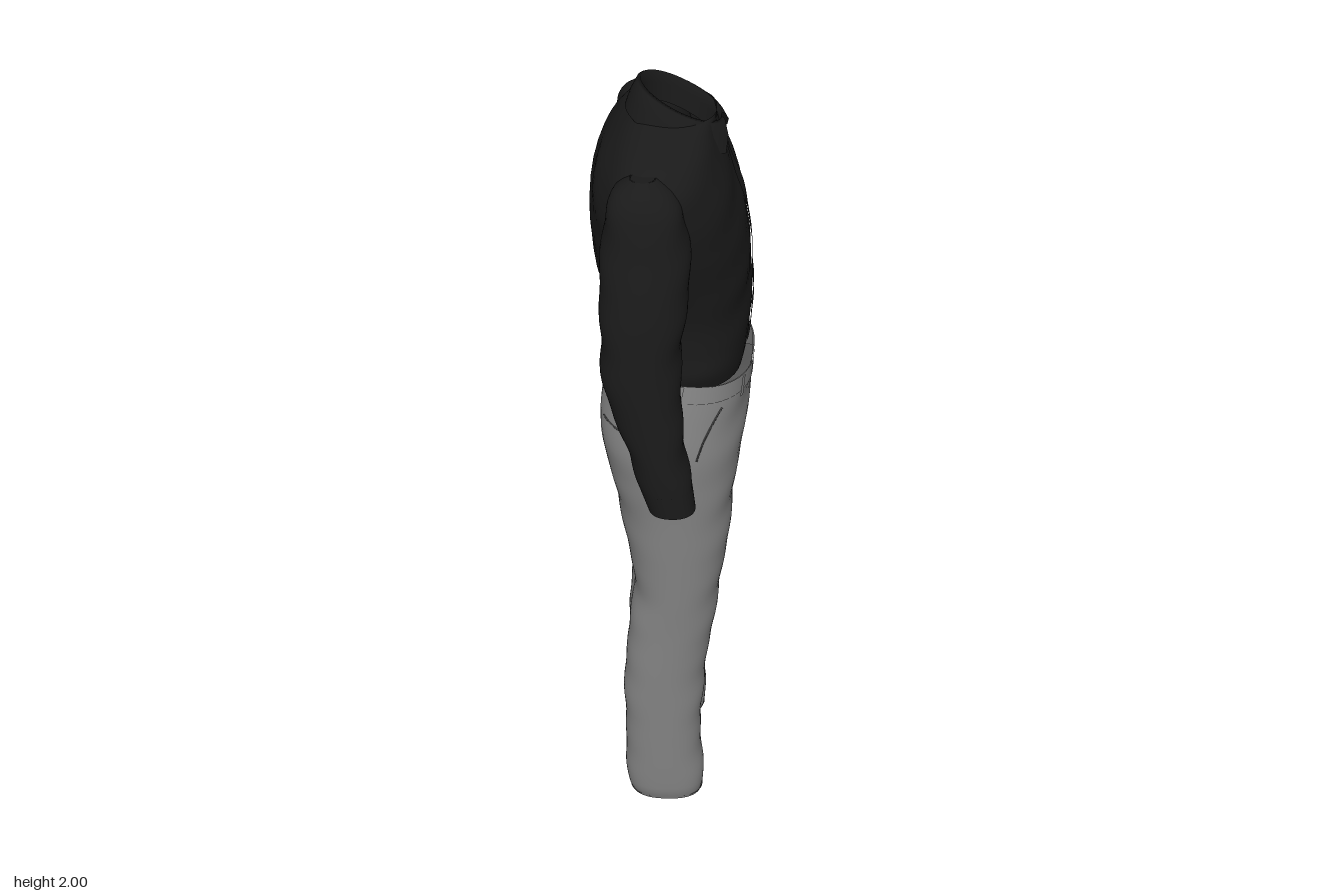
import * as THREE from 'three';

const mat = (name, color) => {
  const m = new THREE.MeshStandardMaterial({ color, side: THREE.DoubleSide });
  m.name = name;
  return m;
};

// Cross-section rows: y, back x, front x, middle x, inner z, middle z, outer z,
// inner fullness (1 = flat wall at the centre seam), corner roundness
const limb = ([y, xb, xf, zi, zo]) => [y, xb, xf, (xb + xf) / 2, zi, (zi + zo) / 2, zo, 0, 0.9];
const trunk = ([y, xb, xf, xc, z]) => [y, xb, xf, xc, -z, 0, z, 0, 0.88];

const TORSO = [
  [1.27, -0.11, 0.172, 0.02, 0.2], [1.31, -0.125, 0.178, 0.02, 0.211], [1.36, -0.14, 0.185, 0.01, 0.207],
  [1.45, -0.165, 0.187, 0, 0.21], [1.55, -0.185, 0.185, -0.02, 0.235], [1.65, -0.195, 0.174, -0.04, 0.265],
  [1.75, -0.192, 0.15, -0.05, 0.285], [1.82, -0.172, 0.125, -0.055, 0.285], [1.87, -0.14, 0.108, -0.05, 0.24],
  [1.9, -0.115, 0.1, -0.03, 0.17], [1.925, -0.09, 0.1, 0, 0.1],
].map(trunk);

const SLEEVE = [
  [1.05, -0.045, 0.06, 0.32, 0.418], [1.15, -0.08, 0.047, 0.302, 0.418], [1.28, -0.122, 0.032, 0.285, 0.411],
  [1.38, -0.152, 0.025, 0.268, 0.405], [1.45, -0.16, 0.028, 0.25, 0.4], [1.58, -0.16, 0.04, 0.222, 0.385],
  [1.7, -0.157, 0.045, 0.2, 0.358], [1.8, -0.147, 0.03, 0.19, 0.332], [1.845, -0.125, 0, 0.19, 0.305],
  [1.868, -0.09, -0.035, 0.22, 0.27],
].map(limb);

const TROUSER = [
  [0, -0.105, 0.08, -0.01, 0.115, 0.17, 0.23, 0, 0.85], [0.03, -0.115, 0.085, -0.015, 0.108, 0.17, 0.237, 0, 0.85],
  [0.2, -0.12, 0.076, -0.02, 0.1, 0.17, 0.24, 0, 0.88], [0.4, -0.12, 0.086, -0.02, 0.09, 0.165, 0.24, 0, 0.9],
  [0.55, -0.108, 0.106, 0, 0.068, 0.155, 0.24, 0, 0.9], [0.66, -0.095, 0.12, 0.01, 0.05, 0.145, 0.243, 0, 0.9],
  [0.8, -0.112, 0.14, 0.01, 0.03, 0.135, 0.247, 0, 0.9], [0.92, -0.135, 0.15, 0.01, 0.008, 0.125, 0.25, 0.15, 0.9],
  [1, -0.152, 0.16, 0, 0, 0.11, 0.254, 0.6, 0.9], [1.1, -0.175, 0.175, 0, 0, 0.08, 0.255, 0.93, 0.9],
  [1.2, -0.165, 0.188, 0.01, 0, 0.04, 0.24, 0.98, 0.9], [1.3, -0.125, 0.195, 0.03, 0, 0.01, 0.22, 1, 0.88],
];

// Smooth interpolation of the rows at height y
function rowAt(rows, y) {
  let i = 0;
  while (i < rows.length - 2 && y > rows[i + 1][0]) i++;
  const a = rows[i], b = rows[i + 1], p = rows[i - 1] || a, n = rows[i + 2] || b;
  const h = b[0] - a[0], t = (y - a[0]) / h;
  return a.map((v, k) => {
    const m0 = ((b[k] - p[k]) / (b[0] - p[0])) * h, m1 = ((n[k] - v) / (n[0] - a[0])) * h;
    return v + t * (m0 + t * (3 * (b[k] - v) - 2 * m0 - m1 + t * (m0 + m1 - 2 * (b[k] - v))));
  });
}

const N = 48;
// Point on a garment at height y and angle t (0 = front, quarter turn = outside)
function surf(rows, y, t, grow = 0, fold = 0) {
  const [, xb, xf, xc, zi, zc, zo, f0, p] = rowAt(rows, y);
  const c = Math.cos(t), s = Math.max(-1, Math.min(1, Math.sin(t) / Math.cos(Math.PI / N)));
  const f = s < 0 ? Math.max(0, Math.min(1, f0)) : 0;
  const cx = f + (1 - f) * Math.pow(Math.abs(c), p), sz = Math.pow(Math.abs(s), p);
  let x = xc + Math.sign(c) * cx * ((c > 0 ? xf - xc : xc - xb) + grow);
  let z = zc + Math.sign(s) * sz * ((s > 0 ? zo - zc : zc - zi) + grow);
  x += fold * c * Math.sin(y * 38 + z * 24) * Math.sin(y * 11 + 1);
  if (rows === TROUSER) {
    z = Math.max(z, 0);
    y -= 0.1 * x * Math.max(0, (y - 1.1) / 0.2);
  }
  return new THREE.Vector3(x, y, z);
}

// Grid surface from a point function; side = -1 mirrors it
function grid(rows, cols, fn, side = 1, closed = false) {
  const pos = [], idx = [], w = closed ? cols : cols + 1;
  for (let i = 0; i <= rows; i++)
    for (let j = 0; j < w; j++) {
      const v = fn(i / rows, j / cols);
      pos.push(v.x, v.y, v.z * side);
    }
  for (let i = 0; i < rows; i++)
    for (let j = 0; j < cols; j++) {
      const a = i * w + j, b = i * w + ((j + 1) % w), c = a + w, d = b + w;
      if (side > 0) idx.push(a, c, b, b, c, d);
      else idx.push(a, b, c, b, d, c);
    }
  const g = new THREE.BufferGeometry();
  g.setAttribute('position', new THREE.Float32BufferAttribute(pos, 3));
  g.setIndex(idx);
  g.computeVertexNormals();
  return g;
}

function loft(rows, y0, y1, steps, side, grow, fold) {
  return grid(steps, N, (u, v) => surf(rows, y0 + (y1 - y0) * u, (v * N + 0.5) / N * Math.PI * 2, grow, fold), side, true);
}

// Flat closing disc facing up (dir 1) or down (dir -1)
function disc(rows, y, side, dir) {
  const r = rowAt(rows, y), mid = new THREE.Vector3(r[3], y, r[5]);
  return grid(1, N, (u, v) => surf(rows, y, (v * N + 0.5) / N * Math.PI * 2).lerp(mid, u), side * dir, true)
    .scale(1, 1, dir);
}

export function createModel() {
  const root = new THREE.Group();
  root.name = 'shirtAndTrousers';
  const shirt = mat('black shirt cloth', 0x1a1a1a);
  const cloth = mat('grey trouser cloth', 0x828282);
  const lining = mat('dark lining', 0x2a2a2a);
  const seam = mat('seam shadow grey', 0x4a4a4a);
  const add = (name, geo, m) => {
    const mesh = new THREE.Mesh(geo, m);
    mesh.name = name;
    root.add(mesh);
    return mesh;
  };

  // Shirt body and front placket
  add('shirtBody', loft(TORSO, 1.27, 1.925, 60, 1, 0, 0.003), shirt);
  add('placket', grid(30, 4, (u, v) => surf(TORSO, 1.3 + 0.57 * u, (v - 0.5) * 0.13, 0.004, 0.003)), shirt);

  // Folded collar: inner stand, top edge, then the leaf with its points
  const collarRows = [[0.088, 0.08, 0.075, 5], [0.09, 0.084, 0.03, 5], [0.094, 0.087, 0, 6],
    [0.102, 0.095, 0.004, 9], [0.118, 0.108, 0.035, 22], [0.13, 0.12, 0.072, 36]];
  add('collar', grid(collarRows.length - 1, 48, (u, v) => {
    const [rx, rz, drop, start] = collarRows[Math.round(u * (collarRows.length - 1))];
    const a = THREE.MathUtils.degToRad(start + (360 - 2 * start) * v), c = Math.cos(a);
    return new THREE.Vector3(0.018 + rx * c, 1.952 - 0.048 * c - drop, rz * Math.sin(a));
  }, -1), shirt);
  const label = add('neckLabel', new THREE.BoxGeometry(0.004, 0.012, 0.045), seam);
  label.position.set(-0.066, 1.93, 0);

  for (const side of [1, -1]) {
    const L = side > 0 ? 'left' : 'right';
    // Left of the frame is the +z half for the sideways-facing outfit
    add(L + 'Sleeve', loft(SLEEVE, 1.05, 1.868, 70, side, 0, 0.005), shirt);
    add(L + 'ShoulderTop', disc(SLEEVE, 1.868, side, 1), shirt);
    add(L + 'Cuff', loft(SLEEVE, 1.052, 1.11, 4, side, 0.003, 0), shirt);
    add(L + 'CuffLining', disc(SLEEVE, 1.06, side, 1), lining);

    // Trouser half, with the centre seam shaded as one surface
    const half = loft(TROUSER, 0, 1.3, 100, side, 0, 0.003);
    const p = half.attributes.position, n = half.attributes.normal, v = new THREE.Vector3();
    for (let i = 0; i < p.count; i++)
      if (Math.abs(p.getZ(i)) < 0.001 && p.getY(i) > 0.98) {
        v.set(n.getX(i), n.getY(i), 0).normalize();
        n.setXYZ(i, v.x, v.y, v.z);
      }
    add(L + 'TrouserHalf', half, cloth);
    add(L + 'HemLining', disc(TROUSER, 0.008, side, 1), lining);

    // Waistband on the outer half
    add(L + 'Waistband', grid(4, 40, (u, w) => surf(TROUSER, 1.255 + 0.046 * u, -0.35 + w * (Math.PI + 0.7), 0.003), side), cloth);

    // Pocket slits and welts as fine seams lying on the cloth
    const line = (name, pts) => add(L + name, new THREE.TubeGeometry(
      new THREE.CatmullRomCurve3(pts.map(([y, t]) => {
        const q = surf(TROUSER, y, t, 0.0005, 0.003);
        q.z *= side;
        return q;
      })), 16, 0.0022, 5), seam);
    line('SidePocket', [[1.1, 1.25], [1.15, 1.18], [1.2, 1.08], [1.235, 0.98]]);
    line('BackPocket', [[1.15, 2.25], [1.15, 2.45], [1.15, 2.65], [1.15, 2.8]]);

    // Belt loops
    for (const t of [0.62, 1.6, 2.5])
      add(L + 'BeltLoop', grid(4, 2, (u, w) => surf(TROUSER, 1.245 + 0.056 * u, t + (w - 0.5) * 0.07, 0.007), side), cloth);
  }

  // Fly stitching
  const fly = [1.04, 1.1, 1.17, 1.25].map((y, i) => {
    const q = surf(TROUSER, y, 0.02, 0.001, 0.003);
    return new THREE.Vector3(q.x - 0.0005, q.y, i === 0 ? 0 : 0.008);
  });
  add('flySeam', new THREE.TubeGeometry(new THREE.CatmullRomCurve3(fly), 16, 0.0015, 5), cloth);
  return root;
}
